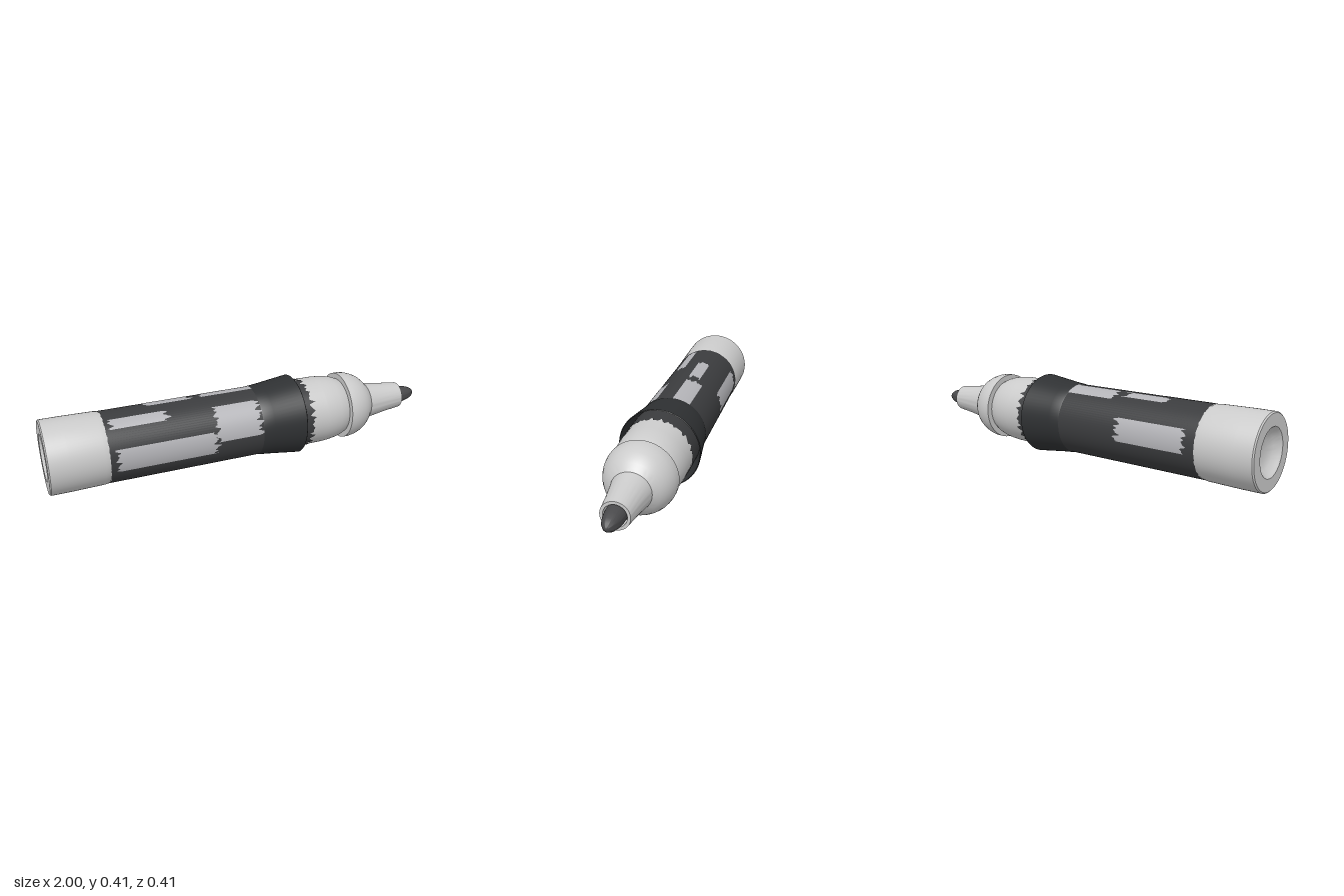
import * as THREE from 'three';
import { toCreasedNormals } from 'three/addons/utils/BufferGeometryUtils.js';

const AXIS_Y = 0.203;
const light = new THREE.MeshStandardMaterial({ color: 0xcccccc });
const dark = new THREE.MeshStandardMaterial({ color: 0x3b3c3e, side: THREE.DoubleSide });
const black = new THREE.MeshStandardMaterial({ color: 0x2f3133 });
const felt = new THREE.MeshStandardMaterial({ color: 0x4a4a4c });
const paper = new THREE.MeshStandardMaterial({ color: 0xb4b4b8, side: THREE.DoubleSide });

export function createModel() {
  const pen = new THREE.Group();
  pen.name = 'markerPen';

  const add = (name, geometry, material) => {
    geometry.rotateZ(-Math.PI / 2);
    const mesh = new THREE.Mesh(geometry, material);
    mesh.name = name;
    mesh.position.set(0, AXIS_Y, -0.003);
    pen.add(mesh);
    return mesh;
  };

  // Turned part: profile of [x along the pen, radius]
  const turned = (name, profile, material) => add(name, toCreasedNormals(
    new THREE.LatheGeometry(profile.map(([x, r]) => new THREE.Vector2(r, x)), 64), 0.6), material);

  // Thin wrapped strip with ragged ends; angle runs from the front (+z) up to the top
  const wrap = (name, x0, x1, a0, a1, radius, ragged, material) => {
    const g = new THREE.CylinderGeometry(radius, radius, x1 - x0, 96, 1, true, -a1, a1 - a0);
    const p = g.attributes.position;
    for (let i = 0; i < p.count; i++) {
      const a = Math.atan2(p.getX(i), p.getZ(i));
      const wave = Math.sin(a * 23 + x0 * 9) + Math.sin(a * 41) + 0.6 * Math.sin(a * 67);
      const end = p.getY(i) > 0 ? 1 : -1;
      const shift = end > 0 ? ragged[1] : ragged[0];
      p.setY(i, p.getY(i) + (x0 + x1) / 2 + shift * wave / 2.6);
    }
    return add(name, g, material);
  };

  // Rear plug with a dished end
  turned('endCap', [
    [-0.955, 0], [-0.957, 0.05], [-0.968, 0.085], [-0.99, 0.105], [-1, 0.115],
    [-1, 0.174], [-0.994, 0.18], [-0.9, 0.18], [-0.74, 0.177], [-0.72, 0.174],
  ], light);

  // Main tube, rounding in at the shoulder
  turned('barrel', [
    [-0.73, 0.172], [0.4, 0.172], [0.44, 0.169], [0.48, 0.163], [0.51, 0.155], [0.535, 0.143],
  ], light);

  // Printed sleeve and its worn patches
  wrap('sleeve', -0.717, 0.315, 0, Math.PI * 2, 0.1745, [0.003, 0.025], dark);
  const patches = [
    [-0.68, -0.2, -0.3, 0.36],
    [-0.19, 0.03, 0.05, 1.08],
    [-0.69, -0.42, 0.92, 1.25],
    [-0.22, 0.07, 1.6, 2.12],
    [-0.5, -0.28, 1.6, 1.95],
    [-0.66, -0.3, 2.65, 3.3],
  ];
  patches.forEach(([x0, x1, a0, a1], i) =>
    wrap('wornPatch' + (i + 1), x0, x1, a0, a1, 0.1757, [0.018, 0.025], paper));

  // Flared collar, open towards the nib
  turned('collar', [
    [0.04, 0.173], [0.05, 0.177], [0.1, 0.182], [0.265, 0.203], [0.268, 0.199], [0.16, 0.173],
  ], black);

  // Domed neck running into the tapered nib holder, with a hollow mouth
  turned('nibHolder', [
    [0.535, 0.135], [0.535, 0.172], [0.56, 0.172], [0.59, 0.167], [0.62, 0.156],
    [0.645, 0.142], [0.665, 0.125], [0.68, 0.108], [0.692, 0.095], [0.72, 0.09],
    [0.8, 0.078], [0.895, 0.067], [0.895, 0.053], [0.855, 0.05], [0.855, 0],
  ], light);

  // Rounded felt nib
  turned('nib', [
    [0.85, 0.047], [0.9, 0.046], [0.935, 0.041], [0.965, 0.033], [0.985, 0.022], [0.996, 0.011], [1, 0],
  ], felt);

  return pen;
}
